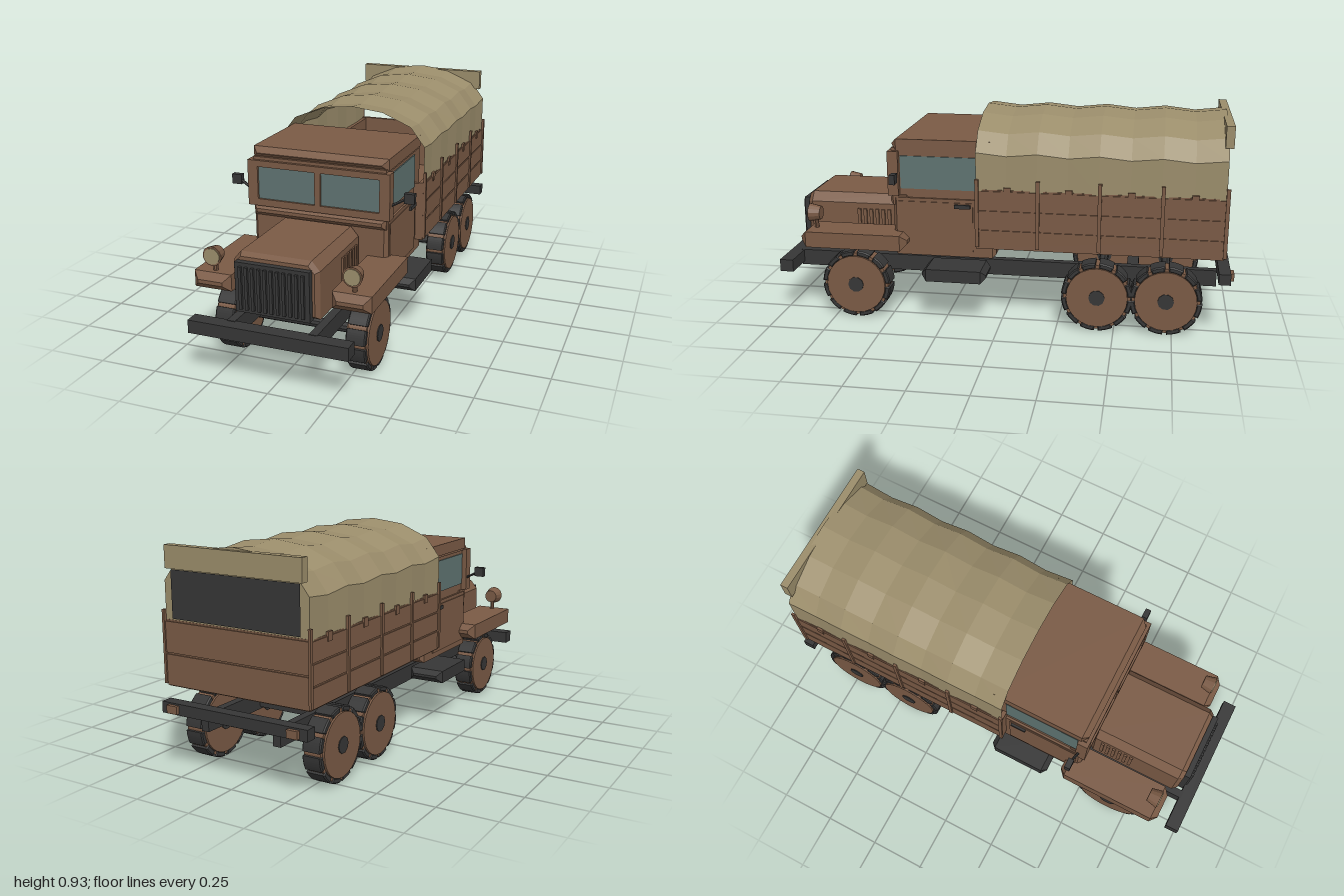
import * as THREE from 'three';
import { mergeGeometries } from 'three/addons/utils/BufferGeometryUtils.js';

const paint = (name, color) => {
  const m = new THREE.MeshStandardMaterial({ color, flatShading: true });
  m.name = name;
  return m;
};

export function createModel() {
  const truck = new THREE.Group();
  truck.name = 'truck';
  const brown = paint('brown paint', 0x7a5a45);
  const tan = paint('tan canvas', 0x9b8d6b);
  const dark = paint('dark metal', 0x363636);
  const glass = paint('window glass', 0x5f7371);

  const add = (name, geo, mat, x = 0, y = 0, z = 0, parent = truck) => {
    const m = new THREE.Mesh(geo, mat);
    m.name = name;
    m.position.set(x, y, z);
    parent.add(m);
    return m;
  };
  // box given by its extents; a bevel chamfers every edge
  const block = (name, mat, x0, x1, y0, y1, z0, z1, b = 0) => {
    const w = x1 - x0, h = y1 - y0, d = z1 - z0;
    let geo;
    if (b) {
      const u = w / 2 - b, v = h / 2 - b;
      const s = new THREE.Shape([[-u, -v], [u, -v], [u, v], [-u, v]].map(p => new THREE.Vector2(...p)));
      geo = new THREE.ExtrudeGeometry(s, { depth: d - 2 * b, bevelSize: b, bevelThickness: b, bevelSegments: 1 });
      geo.translate(0, 0, b - d / 2);
    } else geo = new THREE.BoxGeometry(w, h, d);
    return add(name, geo, mat, (x0 + x1) / 2, (y0 + y1) / 2, (z0 + z1) / 2);
  };
  // the same box on both sides
  const pair = (name, mat, x0, x1, ...rest) => {
    block(name + 'Left', mat, x0, x1, ...rest);
    block(name + 'Right', mat, -x1, -x0, ...rest);
  };

  // chassis
  pair('frameRail', dark, 0.155, 0.19, 0.19, 0.262, -0.935, 0.95);
  block('frontBumper', dark, -0.335, 0.335, 0.205, 0.26, 0.94, 1);
  block('rearBumper', dark, -0.345, 0.345, 0.255, 0.302, -0.985, -0.935);
  pair('tailLight', brown, 0.26, 0.31, 0.262, 0.295, -1, -0.985);
  for (const z of [0.3, -0.57]) block('crossMember', dark, -0.16, 0.16, 0.2, 0.25, z - 0.025, z + 0.025);
  pair('sideStep', dark, 0.215, 0.375, 0.21, 0.265, 0.055, 0.34, 0.022);

  // wheels and axles
  const treads = [];
  for (let i = 0; i < 12; i++) {
    const a = (i * 30 + 5) * Math.PI / 180, e = a + 20 * Math.PI / 180;
    const s = new THREE.Shape();
    s.absarc(0, 0, 0.15, a, e, false);
    s.absarc(0, 0, 0.136, e, a, true);
    s.closePath();
    treads.push(new THREE.ExtrudeGeometry(s, { depth: 0.074, curveSegments: 3, bevelSize: 0.005, bevelThickness: 0.005, bevelSegments: 1 })
      .translate(0, 0, -0.037).rotateY(Math.PI / 2));
  }
  const treadGeo = mergeGeometries(treads);
  const drum = (r, l, n) => new THREE.CylinderGeometry(r, r, l, n).rotateZ(Math.PI / 2);
  for (const z of [0.65, -0.425, -0.72]) {
    add('axle', drum(0.021, 0.5, 10), dark, 0, 0.16, z);
    for (const s of [-1, 1]) {
      const wheel = new THREE.Group();
      wheel.name = 'wheel';
      wheel.position.set(s * 0.285, 0.16, z);
      truck.add(wheel);
      add('tyreTread', treadGeo, dark, 0, 0, 0, wheel);
      add('tyreCore', drum(0.146, 0.076, 24), brown, 0, 0, 0, wheel);
      add('wheelDisc', drum(0.133, 0.094, 24), brown, 0, 0, 0, wheel);
      add('hub', drum(0.035, 0.102, 10), dark, 0, 0, 0, wheel);
    }
  }

  // bonnet: chamfered cross-section with a sloped front edge
  const hood = new THREE.Shape([[-0.165, 0.315], [0.165, 0.315], [0.165, 0.49], [0.14, 0.52], [-0.14, 0.52], [-0.165, 0.49]]
    .map(p => new THREE.Vector2(...p)));
  add('bonnet', new THREE.ExtrudeGeometry(hood, { depth: 0.4, bevelSize: 0.015, bevelThickness: 0.02, bevelSegments: 1 }), brown, 0, 0, 0.49);
  block('grille', dark, -0.155, 0.155, 0.3, 0.505, 0.9, 0.935);
  for (let i = -5; i <= 5; i++) block('grilleBar', dark, i * 0.026 - 0.006, i * 0.026 + 0.006, 0.315, 0.49, 0.935, 0.946);
  for (let i = 0; i < 6; i++) pair('bonnetLouvre', brown, 0.178, 0.188, 0.36, 0.47, 0.52 + i * 0.028, 0.535 + i * 0.028);

  // fenders and headlights
  pair('fender', brown, 0.213, 0.375, 0.34, 0.41, 0.405, 0.885, 0.027);
  for (const s of [-1, 1]) {
    const lamp = new THREE.CylinderGeometry(0.041, 0.03, 0.05, 14).rotateX(Math.PI / 2);
    add('headlight', lamp, brown, s * 0.295, 0.477, 0.832);
    add('headlightLens', new THREE.CylinderGeometry(0.034, 0.034, 0.006, 14).rotateX(Math.PI / 2), tan, s * 0.295, 0.477, 0.858);
    add('headlightStem', new THREE.CylinderGeometry(0.01, 0.01, 0.05, 8), brown, s * 0.295, 0.425, 0.83);
  }

  // cab
  block('cabBody', brown, -0.3, 0.3, 0.305, 0.565, 0.02, 0.475, 0.015);
  block('cabUpper', brown, -0.29, 0.29, 0.55, 0.78, 0.02, 0.45);
  block('cowl', brown, -0.295, 0.295, 0.53, 0.575, 0.4, 0.49, 0.015);
  block('roof', brown, -0.3, 0.3, 0.775, 0.825, 0.02, 0.48, 0.024);
  block('roofLip', brown, -0.295, 0.295, 0.765, 0.785, 0.03, 0.478);
  pair('windscreenPillar', brown, 0.27, 0.315, 0.575, 0.772, 0.445, 0.492);
  block('windscreenSill', brown, -0.27, 0.27, 0.575, 0.605, 0.445, 0.492);
  block('windscreenHeader', brown, -0.27, 0.27, 0.745, 0.772, 0.445, 0.492);
  block('windscreenDivider', brown, -0.013, 0.013, 0.605, 0.745, 0.445, 0.492);
  pair('windscreen', glass, 0.013, 0.27, 0.605, 0.745, 0.475, 0.482);
  pair('sideWindow', glass, 0.288, 0.295, 0.605, 0.75, 0.1, 0.44);
  pair('doorPanel', brown, 0.298, 0.304, 0.33, 0.55, 0.12, 0.45);
  pair('doorHandle', dark, 0.302, 0.314, 0.527, 0.544, 0.13, 0.2);
  pair('mirror', dark, 0.363, 0.407, 0.648, 0.69, 0.435, 0.46);
  for (const s of [-1, 1]) {
    const arm = new THREE.LineCurve3(new THREE.Vector3(s * 0.305, 0.63, 0.46), new THREE.Vector3(s * 0.37, 0.665, 0.448));
    add('mirrorArm', new THREE.TubeGeometry(arm, 1, 0.006, 6), dark);
  }

  // cargo bed
  block('bedFloor', brown, -0.335, 0.335, 0.36, 0.39, -0.945, 0.1);
  pair('bedSide', brown, 0.315, 0.335, 0.36, 0.625, -0.945, 0.1);
  block('bedFront', brown, -0.315, 0.315, 0.39, 0.62, 0.08, 0.1);
  block('tailgate', brown, -0.335, 0.335, 0.36, 0.63, -0.95, -0.93);
  for (let i = 0; i < 3; i++) {
    const y = 0.365 + i * 0.087;
    pair('sidePlank', brown, 0.334, 0.34, y, y + 0.08, -0.945, 0.098);
  }
  for (let i = 0; i < 2; i++) block('tailgatePlank', brown, -0.335, 0.335, 0.364 + i * 0.133, 0.49 + i * 0.133, -0.956, -0.95);
  for (let i = 0; i < 5; i++) {
    const z = 0.095 - i * 0.262;
    pair('stake', brown, 0.336, 0.347, 0.37, 0.67, z - 0.008, z + 0.008);
    if (i < 4) pair('canvasCleat', brown, 0.334, 0.344, 0.6, 0.637, z - 0.146, z - 0.116);
  }

  // canvas cover sagging between its bows, visible inside and out
  const half = [[0.336, 0.615], [0.336, 0.785], [0.272, 0.868], [0.144, 0.922], [0, 0.938]];
  const arch = [...half, ...half.slice(0, 4).reverse().map(([x, y]) => [-x, y])];
  const pos = [], idx = [], rows = 9, n = arch.length;
  for (let r = 0; r < rows; r++) {
    const sag = r % 2 ? 0.014 : 0;
    for (const [x, y] of arch) pos.push(x * (1 - sag), y > 0.7 ? y - sag : y, 0.1 - r * 0.131);
  }
  for (let r = 0; r < rows - 1; r++) for (let i = 0; i < n - 1; i++) {
    const a = r * n + i, b = a + 1, c = a + n, d = c + 1;
    idx.push(a, c, b, b, c, d, a, b, c, b, d, c);
  }
  for (let i = 0; i < idx.length; i += 12) { // outward faces first, then the lining
    [idx[i + 1], idx[i + 2]] = [idx[i + 1], idx[i + 2]];
  }
  let canvas = new THREE.BufferGeometry();
  canvas.setAttribute('position', new THREE.Float32BufferAttribute(pos, 3));
  canvas.setIndex(idx);
  canvas = canvas.toNonIndexed();
  canvas.computeVertexNormals();
  add('canvasCover', canvas, tan);

  // rear curtain with its dark opening and rolled flap
  const wall = new THREE.ShapeGeometry(new THREE.Shape(arch.map(p => new THREE.Vector2(...p)))).rotateY(Math.PI);
  add('rearCurtain', wall, tan, 0, 0, -0.948);
  add('rearOpening', new THREE.PlaneGeometry(0.6, 0.195).rotateY(Math.PI), dark, 0, 0.733, -0.953);
  block('rolledFlap', tan, -0.318, 0.318, 0.835, 0.927, -0.965, -0.93);

  return truck;
}
